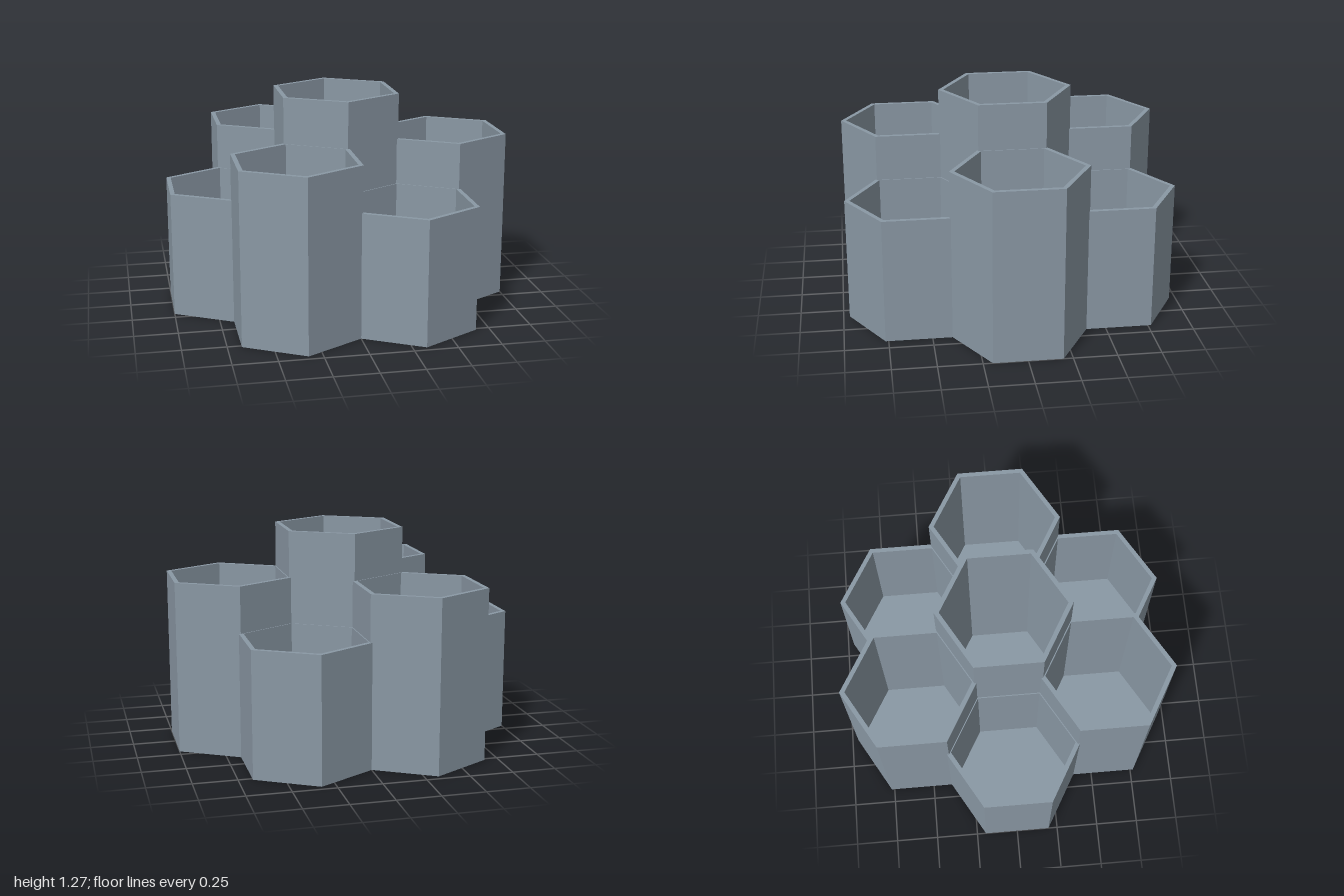
import * as THREE from 'three';

export function createModel() {
  const group = new THREE.Group();
  group.name = 'hexagonalOrganizer';
  const slateGrey = new THREE.MeshStandardMaterial({ color: 0x8a98a4 });
  slateGrey.name = 'slateGrey';

  const toCorner = 2 / Math.sqrt(3); // flat-side distance to corner radius
  const outer = 0.34 * toCorner;
  const inner = 0.314 * toCorner;
  const floor = 0.027;
  const spacing = 0.66;

  // One open hexagonal cup: underside, outer wall, rim, inner wall, floor
  function addCup(name, x, z, height) {
    const profile = [
      [0, 0], [outer, 0], [outer, height], [inner, height], [inner, floor], [0, floor],
    ].map(([r, y]) => new THREE.Vector2(r, y));
    const geometry = new THREE.LatheGeometry(profile, 6).toNonIndexed();
    geometry.computeVertexNormals(); // flat facets
    const cup = new THREE.Mesh(geometry, slateGrey);
    cup.name = name;
    cup.position.set(x, 0, z);
    group.add(cup);
  }

  // Tall cup in the middle, ringed by alternating medium and short cups
  addCup('centreCup', 0, 0, 1.27);
  for (let i = 0; i < 6; i++) {
    const a = (i * Math.PI) / 3;
    const tall = i % 2 === 0;
    addCup(tall ? 'mediumCup' : 'shortCup', spacing * Math.cos(a), spacing * Math.sin(a), tall ? 1.0 : 0.73);
  }
  return group;
}
